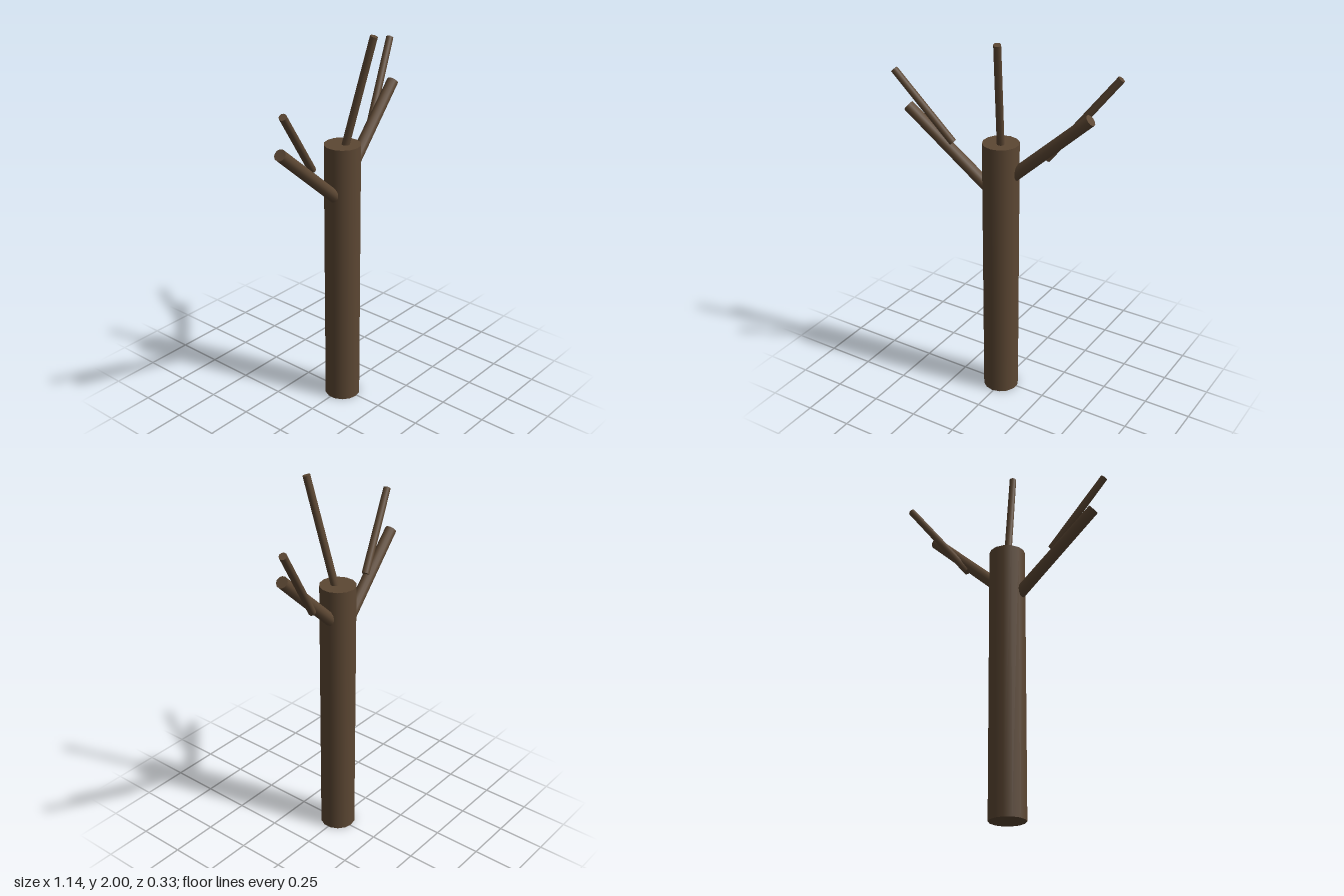
import * as THREE from 'three';

const bark = new THREE.MeshStandardMaterial({ color: 0x5c4733 });

// Tapered round limb running from one point to another
function limb(name, from, to, baseRadius, tipRadius, sides) {
  const a = new THREE.Vector3(...from);
  const b = new THREE.Vector3(...to);
  const dir = b.clone().sub(a);
  const mesh = new THREE.Mesh(
    new THREE.CylinderGeometry(tipRadius, baseRadius, dir.length(), sides), bark);
  mesh.name = name;
  mesh.position.copy(a).add(b).multiplyScalar(0.5);
  mesh.quaternion.setFromUnitVectors(new THREE.Vector3(0, 1, 0), dir.normalize());
  return mesh;
}

export function createModel() {
  const tree = new THREE.Group();
  tree.name = 'bareTree';

  tree.add(
    // Straight trunk with a flat cut top
    limb('trunk', [-0.008, 0, 0.007], [-0.008, 1.443, 0.007], 0.094, 0.094, 14),
    // Two main branches, rooted inside the trunk
    limb('leftBranch', [-0.008, 1.215, 0.006], [0.455, 1.645, -0.044], 0.033, 0.03, 12),
    limb('rightBranch', [-0.008, 1.127, 0.006], [-0.52, 1.553, 0.068], 0.033, 0.03, 12),
    // A thin twig on each branch
    limb('leftTwig', [0.232, 1.4, -0.03], [0.555, 1.837, -0.145], 0.02, 0.019, 10),
    limb('rightTwig', [-0.272, 1.397, 0.04], [-0.556, 1.758, 0.125], 0.02, 0.019, 10),
    // Shoot rising from the trunk top
    limb('topShoot', [-0.005, 1.4, 0.012], [0.058, 1.996, 0.144], 0.02, 0.019, 10),
  );
  return tree;
}
